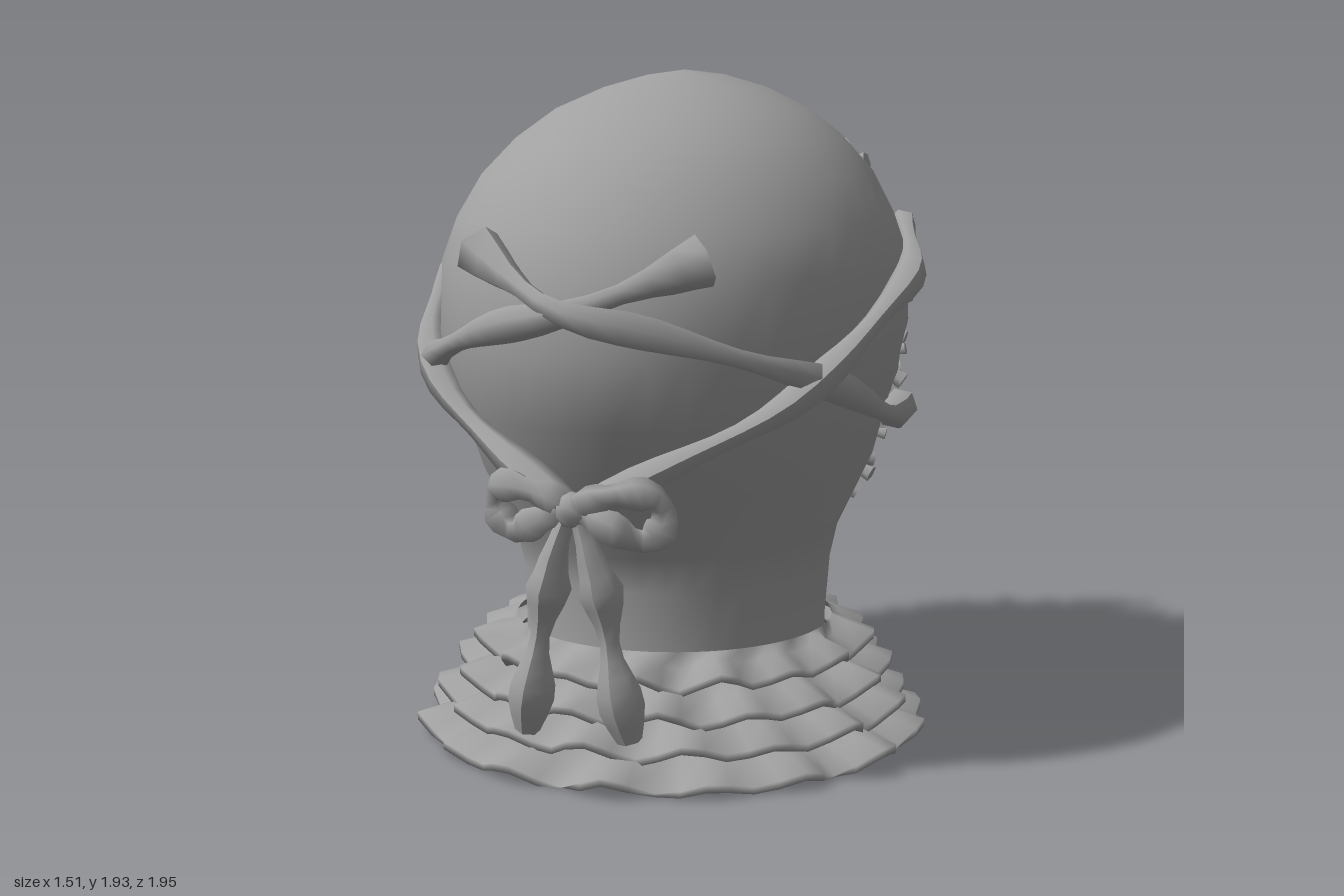
import * as THREE from 'three';
import { mergeGeometries, mergeVertices } from 'three/addons/utils/BufferGeometryUtils.js';

const V = (x, y, z) => new THREE.Vector3(x, y, z);

// Skin a list of closed rings (arrays of Vector3, counter-clockwise from above, bottom to top)
function skin(rings) {
  const n = rings[0].length, pos = [], idx = [];
  rings.forEach(r => r.forEach(p => pos.push(p.x, p.y, p.z)));
  for (let i = 0; i < rings.length - 1; i++) {
    for (let j = 0; j < n; j++) {
      const a = i * n + j, b = i * n + (j + 1) % n, c = a + n, d = b + n;
      idx.push(a, b, d, a, d, c);
    }
  }
  const g = new THREE.BufferGeometry();
  g.setAttribute('position', new THREE.Float32BufferAttribute(pos, 3));
  g.setIndex(idx);
  g.computeVertexNormals();
  return g;
}

// Folded cloth strand along a curve whose radius follows r(t)
function strand(points, r, segments = 18, sides = 6, closed = false) {
  const curve = new THREE.CatmullRomCurve3(points, closed);
  const g = new THREE.TubeGeometry(curve, segments, 1, sides, closed);
  const p = g.attributes.position, v = new THREE.Vector3();
  for (let i = 0; i <= segments; i++) {
    const c = curve.getPointAt(i / segments), rad = r(i / segments);
    for (let j = 0; j <= sides; j++) {
      const k = i * (sides + 1) + j;
      v.fromBufferAttribute(p, k).sub(c).multiplyScalar(rad).add(c);
      p.setXYZ(k, v.x, v.y, v.z);
    }
  }
  g.computeVertexNormals();
  return g;
}

// Point of the domed mask from a direction on the unit half sphere (z <= 0)
function maskPoint(d) {
  const p = V(
    d.x * 0.555 * (1 + 0.06 * d.y) * (1 - 0.13 * d.z * d.z),
    1.12 + d.y * 0.745,
    -0.18 + d.z * 0.7,
  );
  // mouth hollow and the sunken strip under the hood edge
  if (d.z < -0.5) p.z += 0.19 * Math.exp(-((p.x / 0.12) ** 2) - (((p.y - 1.18) / 0.055) ** 2));
  if (d.y > 0.8) p.y -= 0.07 * Math.exp(-((p.x / 0.16) ** 4) - (((p.z + 0.18) / 0.07) ** 2));
  return p;
}

export function createModel() {
  const model = new THREE.Group();
  const cloth = new THREE.MeshStandardMaterial({ color: 0xa0a0a0, side: THREE.DoubleSide });
  cloth.name = 'grey';
  const add = (name, geometry) => {
    const m = new THREE.Mesh(geometry, cloth);
    m.name = name;
    model.add(m);
  };

  // Hood and neck: rows of [y, half width, front z, back radius, centre z]
  const rows = [
    [0.03, 0.45, 0.58, 0.42, 0.12], [0.33, 0.44, 0.58, 0.45, 0.1], [0.5, 0.45, 0.58, 0.5, 0.1],
    [0.6, 0.47, 0.61, 0.55, 0.1], [0.8, 0.56, 0.73, 0.75, 0.1], [1.0, 0.61, 0.85, 0.85, 0.1],
    [1.2, 0.66, 0.91, 0.85, 0.1], [1.4, 0.66, 0.87, 0.8, 0.1], [1.52, 0.62, 0.81, 0.74, 0.1],
    [1.64, 0.555, 0.73, 0.65, 0.08], [1.74, 0.465, 0.61, 0.54, 0.07], [1.82, 0.36, 0.47, 0.43, 0.06],
    [1.88, 0.23, 0.3, 0.29, 0.04], [1.915, 0.11, 0.15, 0.15, 0.03], [1.93, 0.002, 0.032, 0.002, 0.03],
  ];
  add('hood', skin(rows.map(([y, w, front, back, cz]) => {
    const ring = [];
    for (let i = 0; i < 40; i++) {
      const a = i / 40 * Math.PI * 2, c = Math.cos(a);
      const z = cz + c * (c > 0 ? front - cz : back);
      ring.push(V(Math.sin(a) * w, y, Math.max(z, -0.18)));
    }
    return ring;
  })));

  // Domed mask on the back side
  const dome = new THREE.SphereGeometry(1, 64, 36, 0, Math.PI * 2, 0, Math.PI / 2).rotateX(-Math.PI / 2);
  dome.deleteAttribute('uv');
  dome.deleteAttribute('normal');
  const dp = dome.attributes.position;
  for (let i = 0; i < dp.count; i++) {
    const p = maskPoint(V(dp.getX(i), dp.getY(i), dp.getZ(i)));
    dp.setXYZ(i, p.x, p.y, p.z);
  }
  const mask = mergeVertices(dome);
  mask.computeVertexNormals();
  add('mask', mask);

  // Side flaps of the hood lying over the mask
  for (const s of [-1, 1]) {
    const flap = new THREE.PlaneGeometry(1, 1, 6, 10);
    const fp = flap.attributes.position;
    for (let i = 0; i < fp.count; i++) {
      const v = fp.getY(i) * 2, u = fp.getX(i) + 0.5;
      const y = 0.3 + v * 0.54, z = -u * 0.33 * Math.sqrt(Math.max(0, 1 - v ** 4));
      const x = Math.sqrt(Math.max(0, 1 - y * y - z * z));
      const p = maskPoint(V(s * x, y, z));
      fp.setXYZ(i, p.x + s * 0.025, p.y, p.z);
    }
    flap.computeVertexNormals();
    add('sideFlap', flap);
  }

  // Stubby spikes scattered over the mask, denser low and at the back
  let seed = 7;
  const rnd = () => (seed = (seed * 16807) % 2147483647) / 2147483647;
  const spikes = [];
  const up = V(0, 1, 0), total = 280;
  for (let i = 0; i < total; i++) {
    const dz = -1 + (i + 0.5) / total * 0.72, r = Math.sqrt(1 - dz * dz);
    const a = i * 2.39996 + (rnd() - 0.5) * 0.12;
    const d = V(r * Math.cos(a), r * Math.sin(a), dz);
    const p = maskPoint(d);
    const mouth = Math.abs(p.x) < 0.22 && Math.abs(p.y - 1.18) < 0.12;
    const forehead = p.y > 1.25 && Math.abs(p.x) < 0.17;
    if (mouth || forehead || p.y > 1.76 || p.y < 0.5 || (p.y > 1.2 && rnd() < 0.25)) continue;
    const n = V(d.x / 0.55, d.y / 0.74, d.z / 0.69).normalize();
    n.add(V((rnd() - 0.5) * 0.7, (rnd() - 0.5) * 0.7, (rnd() - 0.5) * 0.7)).normalize();
    const size = 0.75 + rnd() * 0.5, lift = dz < -0.93 ? 0.045 : 0.02;
    const g = new THREE.CylinderGeometry(0.024 * size, 0.014 * size, 0.062 * size, 5);
    g.applyQuaternion(new THREE.Quaternion().setFromUnitVectors(up, n));
    g.translate(p.x + n.x * lift, p.y + n.y * lift, p.z + n.z * lift);
    spikes.push(g);
  }
  add('spikes', mergeGeometries(spikes));

  // Long peg standing on the forehead
  const peg = new THREE.CylinderGeometry(0.03, 0.038, 0.4, 8);
  peg.rotateX(0.39);
  peg.translate(0, 1.62, -0.765);
  add('peg', peg);

  // Straps, mirrored: one pair tied in the bow, one pair crossing above it
  for (const s of [-1, 1]) {
    const path = list => list.map(([x, y, z]) => V(x * s, y, z));
    add('lowerStrap', strand(path([
      [0.02, 0.8, 0.88], [0.27, 0.93, 0.78], [0.49, 1.05, 0.63], [0.6, 1.16, 0.5],
      [0.67, 1.28, 0.28], [0.69, 1.35, 0.1], [0.64, 1.41, -0.12], [0.56, 1.47, -0.33],
    ]), t => 0.041 + 0.011 * Math.sin(t * 19), 22));
    add('crossStrap', strand(path([
      [-0.32, 1.46, 0.76], [-0.16, 1.39, 0.88], [0, 1.33, 0.95 + s * 0.01], [0.2, 1.28, 0.88], [0.42, 1.2, 0.73],
      [0.59, 1.11, 0.5], [0.66, 1.0, 0.25], [0.63, 0.95, 0], [0.56, 0.91, -0.34],
    ]), t => 0.039 + 0.012 * Math.sin(t * 21 + 2) + 0.026 * Math.max(0, Math.abs(t - 0.5) * 10 - 4), 26));
    // Bow loop and hanging tail
    add('bowLoop', strand(path([
      [0.02, 0.8, 0.89], [0.12, 0.85, 0.91], [0.23, 0.84, 0.87], [0.24, 0.77, 0.84], [0.19, 0.72, 0.86], [0.09, 0.77, 0.91],
    ]), t => 0.04 + 0.01 * Math.sin(t * 25), 18, 5, true));
    add('bowTail', strand(path([
      [0.01, 0.8, 0.89], [0.05, 0.68, 0.9], [0.08, 0.56, 0.885], [0.115, 0.36, 0.89], [0.15, 0.17, 0.87],
    ]), t => 0.026 + 0.038 * Math.sin(t * Math.PI * 2 - 0.5) ** 2 * (t > 0.3 ? 1 : 0.6), 14));
  }
  const knot = new THREE.SphereGeometry(0.05, 7, 5);
  knot.translate(0, 0.8, 0.9);
  add('bowKnot', knot);

  // Ruffled collar: stacked wavy layers of [edge height, outer radius, centre z]
  [[0.02, 0.735, 0.13], [0.1, 0.68, 0.12], [0.18, 0.63, 0.12], [0.265, 0.57, 0.12]].forEach(([y, r, cz], k) => {
    const count = 66;
    const ring = (rad, h, wave) => Array.from({ length: count }, (_, i) => {
      const a = i / count * Math.PI * 2;
      const w = 0.75 * Math.sin(a * 16 + k * 1.7) + 0.35 * Math.sin(a * 11 + k * 2.3);
      const rr = rad + wave * 0.032 * w;
      return V(Math.sin(a) * rr, Math.max(0, h + wave * 0.03 * w), cz + Math.cos(a) * rr);
    });
    add('ruffle', skin([
      ring(0.468, y + 0.01, 0), ring(r * 0.87, y - 0.012, 0.7), ring(r, y - 0.01, 1),
      ring(r, y + 0.012, 1), ring(r * 0.87, y + 0.045, 0.7), ring(0.468, y + 0.07, 0),
    ]));
  });

  return model;
}
